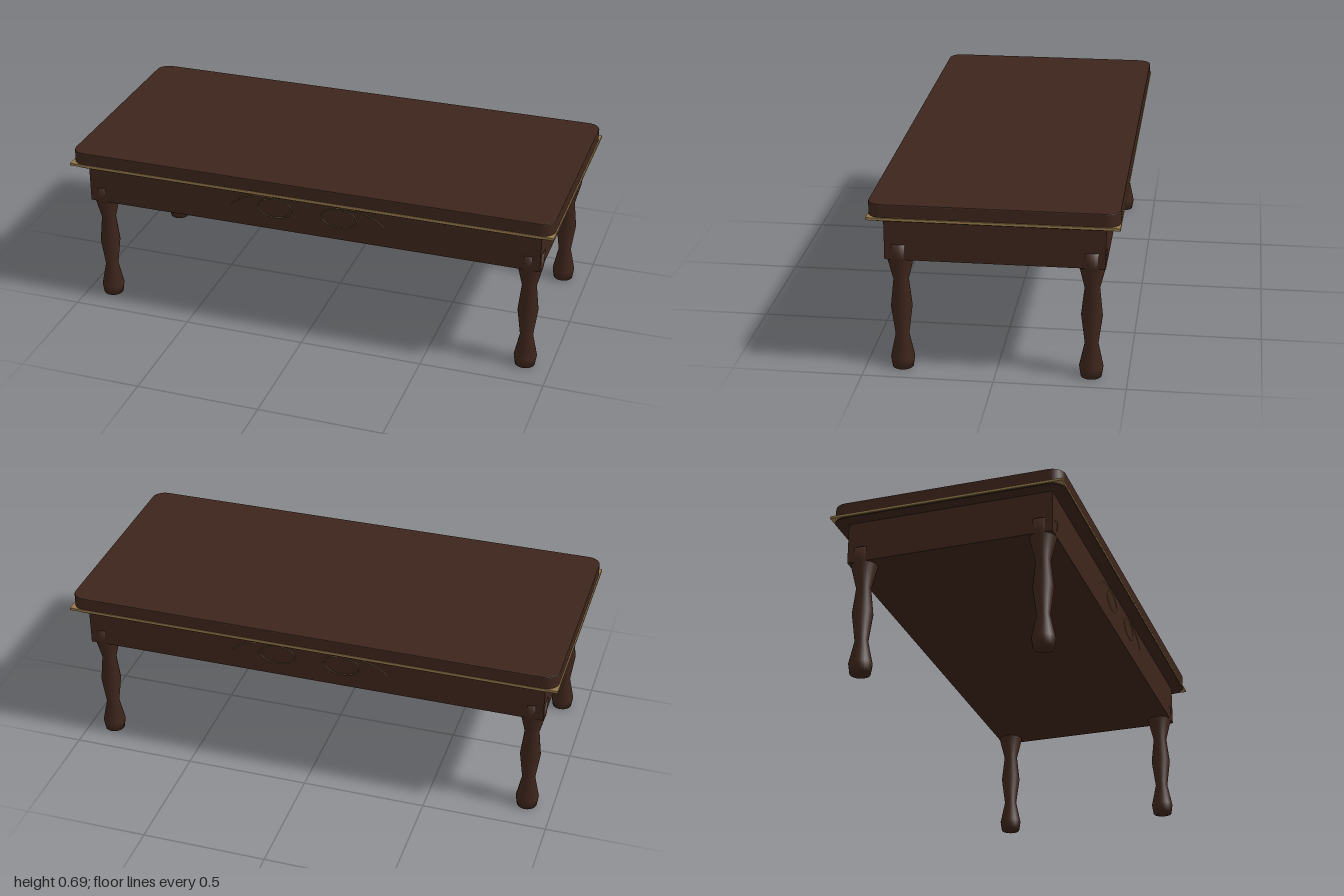
import * as THREE from 'three';

const wood = new THREE.MeshStandardMaterial({ color: 0x3d251b });
const gold = new THREE.MeshStandardMaterial({ color: 0x94784a });

function add(parent, name, geometry, material, x = 0, y = 0, z = 0) {
  const mesh = new THREE.Mesh(geometry, material);
  mesh.name = name;
  mesh.position.set(x, y, z);
  parent.add(mesh);
  return mesh;
}

// Rounded rectangle in the xy plane, centred on the origin
function roundedRect(w, d, r) {
  const x = w / 2, y = d / 2;
  const s = new THREE.Shape();
  s.moveTo(-x + r, -y);
  s.lineTo(x - r, -y).absarc(x - r, -y + r, r, -Math.PI / 2, 0);
  s.lineTo(x, y - r).absarc(x - r, y - r, r, 0, Math.PI / 2);
  s.lineTo(-x + r, y).absarc(-x + r, y - r, r, Math.PI / 2, Math.PI);
  s.lineTo(-x, -y + r).absarc(-x + r, -y + r, r, Math.PI, Math.PI * 1.5);
  return s;
}

export function createModel() {
  const table = new THREE.Group();
  table.name = 'coffeeTable';

  // Table top: rounded corners with a slim eased edge
  const bevel = 0.004;
  const top = new THREE.ExtrudeGeometry(roundedRect(1.99 - 2 * bevel, 0.93 - 2 * bevel, 0.05), {
    depth: 0.067 - 2 * bevel, bevelThickness: bevel, bevelSize: bevel, bevelSegments: 2, curveSegments: 8,
  });
  top.rotateX(-Math.PI / 2);
  add(table, 'tableTop', top, wood, 0, 0.625 + bevel, 0);

  // Square-cornered gilt band round the top
  add(table, 'trimBand', new THREE.BoxGeometry(2, 0.01, 0.934), gold, 0, 0.635, 0);

  // Closed apron box
  add(table, 'apron', new THREE.BoxGeometry(1.886, 0.17, 0.824), wood, 0, 0.54, 0);

  // Turned legs
  const profile = [
    [0, 0], [0.04, 0], [0.046, 0.04], [0.026, 0.135], [0.041, 0.25],
    [0.029, 0.36], [0.052, 0.455], [0.055, 0.515], [0, 0.515],
  ].map(([r, y]) => new THREE.Vector2(r, y));
  const leg = new THREE.LatheGeometry(profile, 24);
  for (const x of [-0.895, 0.895]) {
    for (const z of [-0.36, 0.36]) {
      add(table, `${z > 0 ? 'front' : 'back'}${x > 0 ? 'Left' : 'Right'}Leg`, leg, wood, x, 0, z);
    }
  }

  // Fine scroll ornaments, mirrored on the front and back
  const scrollPoints = [
    [0.32, 0.545], [0.28, 0.575], [0.2, 0.598], [0.12, 0.595], [0.07, 0.575], [0.06, 0.552],
    [0.085, 0.525], [0.135, 0.513], [0.185, 0.525], [0.207, 0.553], [0.19, 0.58], [0.15, 0.592],
  ];
  for (const side of [-1, 1]) {
    const path = new THREE.CatmullRomCurve3(scrollPoints.map(([x, y]) => new THREE.Vector3(side * x, y, 0)));
    const scroll = new THREE.TubeGeometry(path, 64, 0.0022, 6);
    for (const z of [-0.42, 0.42]) {
      add(table, `${z > 0 ? 'front' : 'back'}${side > 0 ? 'Left' : 'Right'}Scroll`, scroll, gold, 0, 0, z);
    }
  }
  return table;
}
